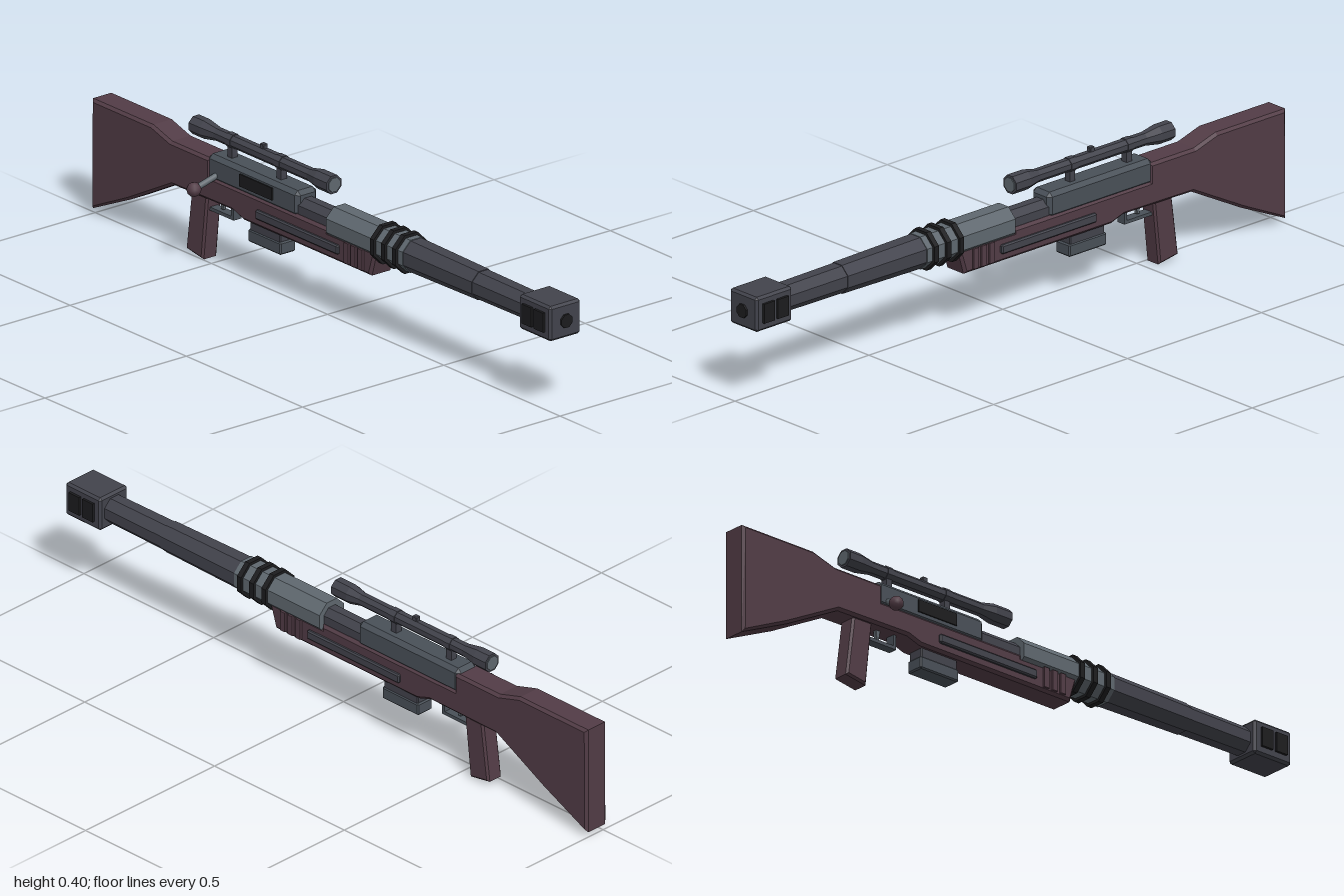
import * as THREE from 'three';
import { ConvexGeometry } from 'three/addons/geometries/ConvexGeometry.js';

const mat = (name, color) => {
  const m = new THREE.MeshStandardMaterial({ color });
  m.name = name;
  return m;
};

export function createModel() {
  const wood = mat('maroon wood', 0x523c46);
  const gunmetal = mat('dark gunmetal', 0x42434c);
  const slate = mat('slate metal', 0x495058);
  const steel = mat('light steel', 0x5f686f);
  const black = mat('black', 0x1c1c1e);

  const model = new THREE.Group();
  model.name = 'rifle';
  const body = new THREE.Group();
  body.name = 'body';
  body.position.x = 0.025;
  model.add(body);

  const add = (name, geometry, material) => {
    const mesh = new THREE.Mesh(geometry, material);
    mesh.name = name;
    body.add(mesh);
    return mesh;
  };

  // Box between two corners with all edges chamfered by c
  const block = (name, material, [x0, x1], [y0, y1], [z0, z1], c = 0.006) => {
    const pts = [];
    for (const sx of [0, 1]) for (const sy of [0, 1]) for (const sz of [0, 1]) {
      const p = [sx ? x1 : x0, sy ? y1 : y0, sz ? z1 : z0];
      const s = [sx ? -c : c, sy ? -c : c, sz ? -c : c];
      for (let k = 0; k < 3; k++) {
        pts.push(new THREE.Vector3(...p.map((v, i) => (i === k ? v : v + s[i]))));
      }
    }
    return add(name, new ConvexGeometry(pts), material);
  };

  const plate = (name, material, [x0, x1], [y0, y1], [z0, z1]) => {
    const g = new THREE.BoxGeometry(x1 - x0, y1 - y0, z1 - z0);
    g.translate((x0 + x1) / 2, (y0 + y1) / 2, (z0 + z1) / 2);
    return add(name, g, material);
  };

  // Side outline of [z, y] points, extruded across x with bevelled edges
  const profile = (name, material, points, half, bevel) => {
    const shape = new THREE.Shape(points.map(([z, y]) => new THREE.Vector2(z, y)));
    const g = new THREE.ExtrudeGeometry(shape, {
      depth: 2 * (half - bevel), bevelEnabled: true, bevelSegments: 1,
      bevelSize: bevel, bevelThickness: bevel, bevelOffset: -bevel,
    });
    g.translate(0, 0, bevel - half);
    g.rotateY(-Math.PI / 2);
    return add(name, g, material);
  };

  // Eight-sided tube along z; radii are measured to the flats
  const octagon = (name, material, y, zBack, zFront, rBack, rFront = rBack) => {
    const k = 1 / Math.cos(Math.PI / 8);
    const g = new THREE.CylinderGeometry(rFront * k, rBack * k, zFront - zBack, 8).toNonIndexed();
    g.computeVertexNormals();
    g.rotateY(Math.PI / 8);
    g.rotateX(Math.PI / 2);
    g.translate(0, y, (zBack + zFront) / 2);
    return add(name, g, material);
  };

  // Stock and fore-end
  profile('stock', wood, [
    [0.222, 0.25], [0.2, 0.175], [-0.35, 0.175], [-0.395, 0.19], [-0.65, 0.187],
    [-0.835, 0.09], [-1, 0.015], [-1, 0.337], [-0.74, 0.337], [-0.66, 0.313],
    [-0.49, 0.313], [-0.49, 0.26], [0.02, 0.26], [0.02, 0.25],
  ], 0.04, 0.008);
  profile('grip', wood, [
    [-0.515, 0.2], [-0.585, 0.2], [-0.61, 0.012], [-0.537, 0],
  ], 0.027, 0.006);

  for (const s of [-1, 1]) {
    const side = (a, b) => (s > 0 ? [a, b] : [-b, -a]);
    block('sideRail', gunmetal, side(0.03, 0.049), [0.2, 0.227], [-0.285, 0.07], 0.004);
    for (const z of [0.105, 0.135, 0.165]) {
      plate('foreEndRib', wood, side(0.039, 0.047), [0.185, 0.245], [z - 0.009, z + 0.009]);
    }
    // Muzzle vents
    for (const [z0, z1] of [[0.88, 0.92], [0.932, 0.972]]) {
      plate('muzzleVent', black, side(0.054, 0.0625), [0.245, 0.302], [z0, z1]);
    }
  }

  // Barrel, sleeve and muzzle
  const axis = 0.272;
  octagon('rearBarrel', gunmetal, axis, -0.13, 0.03, 0.031);
  octagon('barrelSleeve', steel, axis, 0.02, 0.35, 0.048);
  octagon('barrelBase', gunmetal, axis, 0.34, 0.64, 0.046, 0.042);
  octagon('barrel', gunmetal, axis, 0.64, 0.87, 0.04, 0.038);
  for (const z of [0.228, 0.275, 0.322]) {
    octagon('sleeveRing', black, axis, z - 0.008, z + 0.008, 0.056);
  }
  block('muzzle', gunmetal, [-0.055, 0.055], [0.221, 0.323], [0.858, 0.994], 0.007);
  octagon('bore', black, axis, 0.99, 1, 0.019);

  // Receiver with ejection port and bolt
  block('receiver', slate, [-0.038, 0.038], [0.25, 0.325], [-0.505, -0.115], 0.012);
  plate('ejectionPort', black, [-0.042, -0.034], [0.272, 0.308], [-0.36, -0.22]);
  const boltPath = new THREE.LineCurve3(
    new THREE.Vector3(-0.03, 0.272, -0.465), new THREE.Vector3(-0.095, 0.237, -0.49));
  add('boltHandle', new THREE.TubeGeometry(boltPath, 1, 0.009, 8), steel);
  const knob = new THREE.IcosahedronGeometry(0.021, 1);
  knob.translate(-0.095, 0.237, -0.49);
  add('boltKnob', knob, wood);

  // Magazine
  block('magazine', slate, [-0.028, 0.028], [0.113, 0.15], [-0.34, -0.2], 0.004);
  block('magazineWell', gunmetal, [-0.025, 0.025], [0.14, 0.19], [-0.335, -0.205], 0.003);

  // Trigger and guard
  const w = [-0.014, 0.014];
  plate('guardBottom', slate, w, [0.147, 0.157], [-0.53, -0.418]);
  plate('guardFront', slate, w, [0.15, 0.195], [-0.428, -0.418]);
  profile('trigger', steel, [
    [-0.468, 0.195], [-0.486, 0.195], [-0.482, 0.16], [-0.474, 0.16],
  ], 0.006, 0.001);

  // Scope
  const sy = 0.373;
  octagon('scopeTube', gunmetal, sy, -0.53, -0.06, 0.018);
  octagon('scopeFrontFlare', gunmetal, sy, -0.1, -0.06, 0.018, 0.026);
  octagon('scopeFrontBell', gunmetal, sy, -0.06, -0.003, 0.026);
  octagon('scopeRearFlare', gunmetal, sy, -0.55, -0.5, 0.026, 0.018);
  octagon('scopeRearBell', gunmetal, sy, -0.597, -0.55, 0.026);
  octagon('frontLens', steel, sy, -0.005, 0, 0.02);
  octagon('rearLens', steel, sy, -0.6, -0.595, 0.02);
  for (const z of [-0.228, -0.44]) {
    plate('scopeMount', gunmetal, [-0.01, 0.01], [0.315, 0.365], [z - 0.01, z + 0.01]);
    octagon('scopeClamp', gunmetal, sy, z - 0.012, z + 0.012, 0.02);
  }
  block('scopeDial', gunmetal, [-0.008, 0.008], [0.38, 0.404], [-0.314, -0.296], 0.002);

  return model;
}
